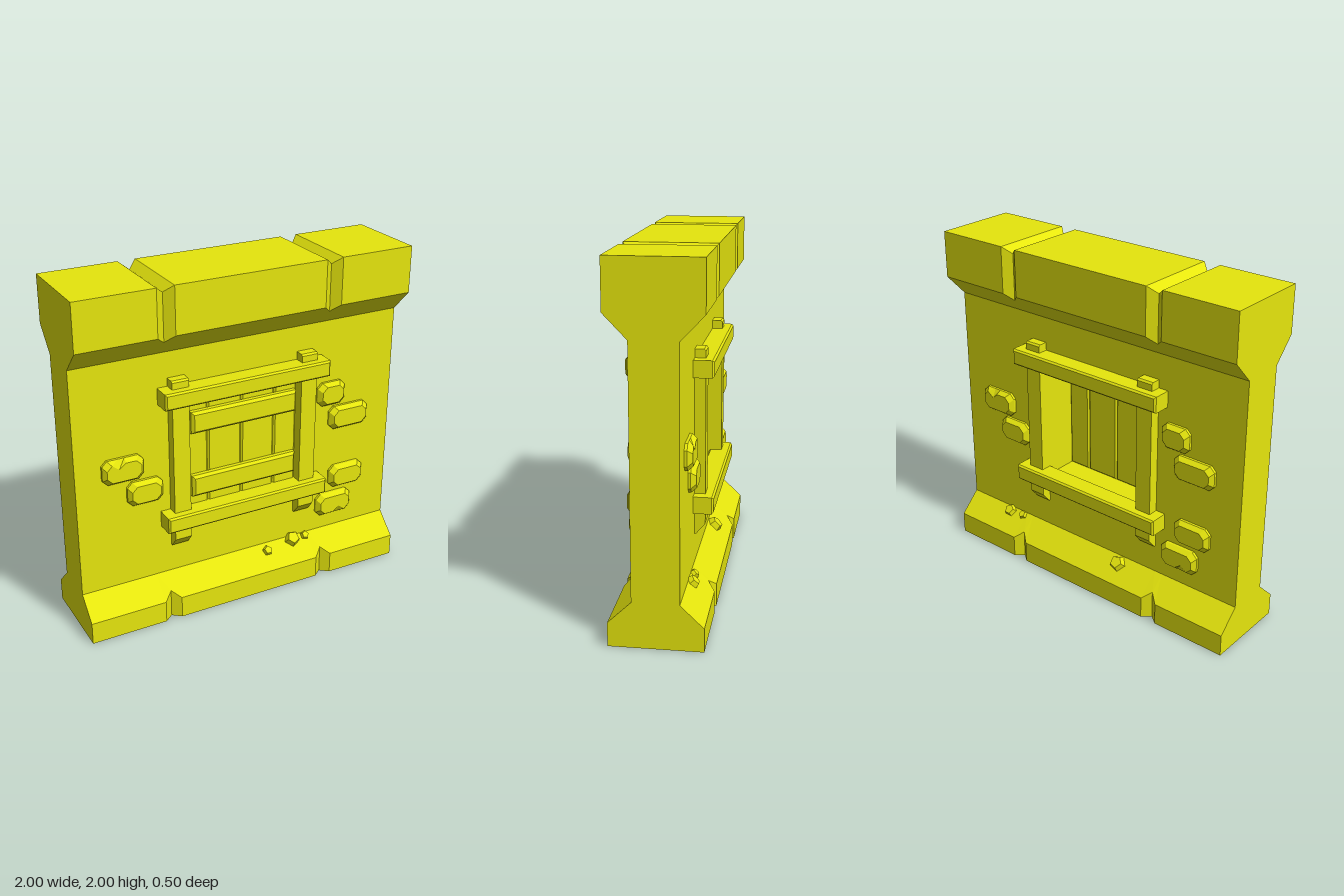
import * as THREE from 'three';

const mat = new THREE.MeshStandardMaterial({ color: 0xe6e60d, flatShading: true, side: THREE.DoubleSide });

function add(parent, name, geometry, x = 0, y = 0, z = 0) {
  const mesh = new THREE.Mesh(geometry, mat);
  mesh.name = name;
  mesh.position.set(x, y, z);
  parent.add(mesh);
  return mesh;
}

// Flat quads between successive rings of [x, y, z] points
function loft(rings, closed) {
  const pos = [];
  for (let r = 0; r + 1 < rings.length; r++) {
    const p = rings[r], q = rings[r + 1], n = p.length;
    for (let i = 0; i < (closed ? n : n - 1); i++) {
      const j = (i + 1) % n;
      pos.push(...p[i], ...p[j], ...q[j], ...p[i], ...q[j], ...q[i]);
    }
  }
  const g = new THREE.BufferGeometry();
  g.setAttribute('position', new THREE.Float32BufferAttribute(pos, 3));
  g.computeVertexNormals();
  return g;
}

const polygon = pts => new THREE.Shape(pts.map(p => new THREE.Vector2(p[0], p[1])));
const rect = (x, y0, y1) => [[-x, y0], [x, y0], [x, y1], [-x, y1]];

// Centred box with all edges chamfered by b
function chamferBox(w, h, d, b) {
  const g = new THREE.ExtrudeGeometry(polygon(rect(w / 2 - b, b - h / 2, h / 2 - b)), {
    depth: d - 2 * b, bevelSize: b, bevelThickness: b, bevelSegments: 1,
  });
  return g.translate(0, 0, b - d / 2);
}

const T = 0.125;          // half thickness of the wall
const HOLE = rect(0.35, 0.6, 1.35);

// Half-depth inset of the cap and skirt at each station (joints at x = ±0.5)
const stations = [[1, 0], [0.55, 0], [0.5, 0.04], [0.45, 0], [-0.45, 0], [-0.5, 0.04], [-0.55, 0], [-1, 0]];

function buildWall(root) {
  const cap = stations.map(([x, s]) => [
    [x, 1.6, T], [x, 1.73 - s, 0.25 - s], [x, 2 - s, 0.25 - s],
    [x, 2 - s, s - 0.25], [x, 1.73 - s, s - 0.25], [x, 1.6, -T],
  ]);
  add(root, 'cap', loft(cap, false));

  // Profile of the two end faces
  const half = [[0.25, 0], [0.25, 0.13], [T, 0.25], [T, 1.6], [0.25, 1.73], [0.25, 2]];
  const profile = [...half, ...half.map(([z, y]) => [-z, y]).reverse()];
  for (const s of [1, -1]) {
    add(root, 'wallEnd', new THREE.ShapeGeometry(polygon(profile)), s).rotation.y = s * Math.PI / 2;
  }

  // Lining of the window opening
  add(root, 'windowReveal', loft([T, -T].map(z => HOLE.map(([x, y]) => [x, y, z])), true));
}

// Octagonal stone with a chamfered face and, if wanted, a chip in its top edge
function stoneGeometry(w, h, chip) {
  const c = 0.03;
  const outline = (inset, notch) => {
    const a = w / 2 - inset, b = h / 2 - inset;
    const pts = [[-a, c - b], [c - a, -b], [a - c, -b], [a, c - b], [a, b - c], [a - c, b]];
    if (chip) pts.push([0.01, b], [-0.03, b - notch], [-0.07, b]);
    pts.push([c - a, b], [-a, b - c]);
    return pts;
  };
  const face = outline(0.02, 0.03);
  const rings = [[outline(0, 0), -0.02], [outline(0, 0), 0.015], [face, 0.042]];
  const g = new THREE.Group();
  add(g, 'stoneSides', loft(rings.map(([pts, z]) => pts.map(p => [...p, z])), true));
  add(g, 'stoneFace', new THREE.ShapeGeometry(polygon(face)), 0, 0, 0.042);
  return g;
}

// [x, y, width, chip: 1 top edge, -1 bottom edge]
const stones = [
  [-0.73, 0.975, 0.24, 1], [-0.605, 0.812, 0.21, 0], [0.58, 1.152, 0.18, 0],
  [0.705, 0.988, 0.26, 0], [0.705, 0.595, 0.23, 0], [0.625, 0.418, 0.24, -1],
];

// One face of the wall, built facing +z; pebbles are [x, y, radius]
function buildFace(name, pebbles) {
  const side = new THREE.Group();
  side.name = name;

  const panel = polygon(rect(1, 0.25, 1.6));
  panel.holes.push(polygon(HOLE));
  add(side, 'wallPanel', new THREE.ShapeGeometry(panel), 0, 0, T);

  const skirt = stations.map(([x, s]) => [[x, 0, 0.25 - s], [x, 0.13 + s, 0.25 - s], [x, 0.25, T]]);
  add(side, 'skirt', loft(skirt, false));

  // Window frame: posts with a slanted foot, and rails across them
  const postSide = polygon([[0.1, 0.42], [0.135, 0.42], [0.185, 0.48], [0.185, 1.44], [0.175, 1.45], [0.1, 1.45]]);
  for (const s of [-1, 1]) {
    const post = new THREE.ExtrudeGeometry(postSide, { depth: 0.1, bevelEnabled: false });
    post.translate(0, 0, -0.05).rotateY(-Math.PI / 2);
    add(side, 'framePost', post, s * 0.4);
  }
  for (const y of [0.605, 1.355]) add(side, 'frameRail', chamferBox(1.02, 0.095, 0.125, 0.01), 0, y, 0.173);

  for (const [x, y, w, chip] of stones) {
    const stone = stoneGeometry(w, 0.145, chip !== 0);
    stone.name = 'stone';
    stone.position.set(x, y, T);
    if (chip < 0) stone.rotation.z = Math.PI;
    side.add(stone);
  }

  // Five-sided pebbles lying on the sloped ledge
  pebbles.forEach(([x, y, r], i) => {
    const pebble = add(side, 'pebble', new THREE.CylinderGeometry(r * 0.6, r, r * 1.1, 5), x, y, 0.375 - y);
    pebble.rotation.set(Math.PI / 4, 0.6 + i * 0.5, 0, 'XYZ');
  });
  return side;
}

function buildShutter(root) {
  const shutter = new THREE.Group();
  shutter.name = 'shutter';
  // Upright boards, closing the opening on the front side
  const edges = [-0.35, -0.215, -0.005, 0.205, 0.35];
  for (let i = 0; i < 4; i++) {
    const w = edges[i + 1] - edges[i];
    add(shutter, 'board', chamferBox(w, 0.75, 0.06, 0.01), (edges[i] + edges[i + 1]) / 2, 0.975, 0.1);
  }
  for (const y of [0.78, 1.17]) add(shutter, 'crossPlank', chamferBox(0.66, 0.13, 0.055, 0.015), 0, y, 0.147);
  root.add(shutter);
}

export function createModel() {
  const root = new THREE.Group();
  root.name = 'wallWithWindow';
  buildWall(root);
  root.add(buildFace('frontFace', [[0.16, 0.215, 0.04], [0.34, 0.235, 0.062], [0.43, 0.235, 0.036]]));
  const back = buildFace('backFace', [[-0.67, 0.23, 0.05], [-0.57, 0.235, 0.036], [0.21, 0.215, 0.062]]);
  back.rotation.y = Math.PI;
  root.add(back);
  buildShutter(root);
  return root;
}
